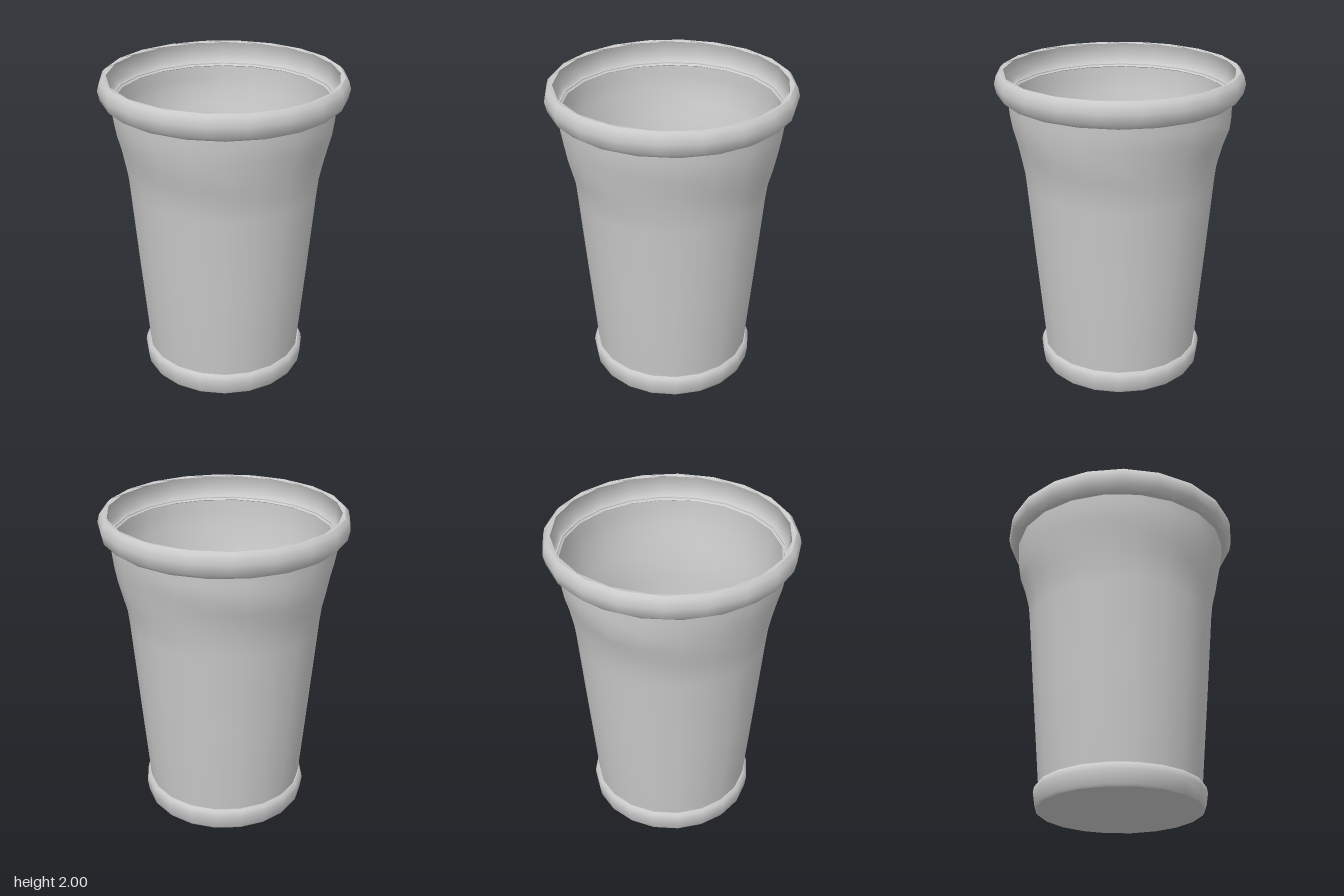
import * as THREE from 'three';
import { mergeVertices, toCreasedNormals } from 'three/addons/utils/BufferGeometryUtils.js';

const SIDES = 20;
const material = new THREE.MeshStandardMaterial({ color: 0xcccccc, side: THREE.DoubleSide });

// Lathe a profile of [radius, height] points, optionally reshaped by a rule
// that returns a radius offset and a twist for each point.
function turned(name, profile, crease, rule) {
  let geo = new THREE.LatheGeometry(profile.map(([r, y]) => new THREE.Vector2(r, y)), SIDES);
  geo.deleteAttribute('uv');
  geo.deleteAttribute('normal');
  if (rule) {
    const pos = geo.attributes.position;
    for (let i = 0; i < pos.count; i++) {
      const x = pos.getX(i), y = pos.getY(i), z = pos.getZ(i);
      const angle = Math.atan2(x, z), r = Math.hypot(x, z);
      const { swell = 0, twist = 0 } = rule(angle, y, r);
      pos.setXYZ(i, (r + swell) * Math.sin(angle + twist), y, (r + swell) * Math.cos(angle + twist));
    }
  }
  geo = toCreasedNormals(mergeVertices(geo, 1e-4), crease);
  const mesh = new THREE.Mesh(geo, material);
  mesh.name = name;
  return mesh;
}

export function createModel() {
  const group = new THREE.Group();
  group.name = 'cup';

  // Thin tapered wall: up the outside, down the inside, then across the floor
  const outer = [[0.5, 0.08], [0.507, 0.14], [0.56, 0.75], [0.604, 1.28], [0.615, 1.38],
    [0.638, 1.48], [0.66, 1.58], [0.682, 1.68], [0.695, 1.77], [0.698, 1.86]];
  const inner = outer.slice(1).reverse().map(([r, y]) => [r - 0.014, y]);
  const dent = (angle, y) => {
    const band = Math.exp(-(((y - 1.56) / 0.13) ** 2));
    const fold = Math.exp(-(((y - 1.67) / 0.06) ** 2)) * Math.max(0, -Math.cos(angle)) ** 8;
    return { swell: 0.007 * band * Math.sin(3 * angle + 6 * y) + 0.014 * fold };
  };
  group.add(turned('wall', [...outer, ...inner, [0.489, 0.04], [0, 0.04]], 0.7, dent));

  // Rolled rim, its outer facets turned against the inner ones
  const rim = [[0.68, 1.84], [0.72, 1.835], [0.757, 1.87], [0.77, 1.93], [0.757, 1.98], [0.737, 2],
    [0.717, 1.99], [0.71, 1.89], [0.693, 1.86], [0.672, 1.845], [0.68, 1.84]];
  group.add(turned('rim', rim, 0.95, (angle, y, r) => ({ twist: r > 0.73 ? 0.17 : 0 })));

  // Foot band with a flat underside
  const foot = [[0, 0], [0.515, 0], [0.525, 0.015], [0.537, 0.095], [0.53, 0.13], [0.515, 0.145], [0.497, 0.14]];
  group.add(turned('foot', foot, 0.9));

  return group;
}
